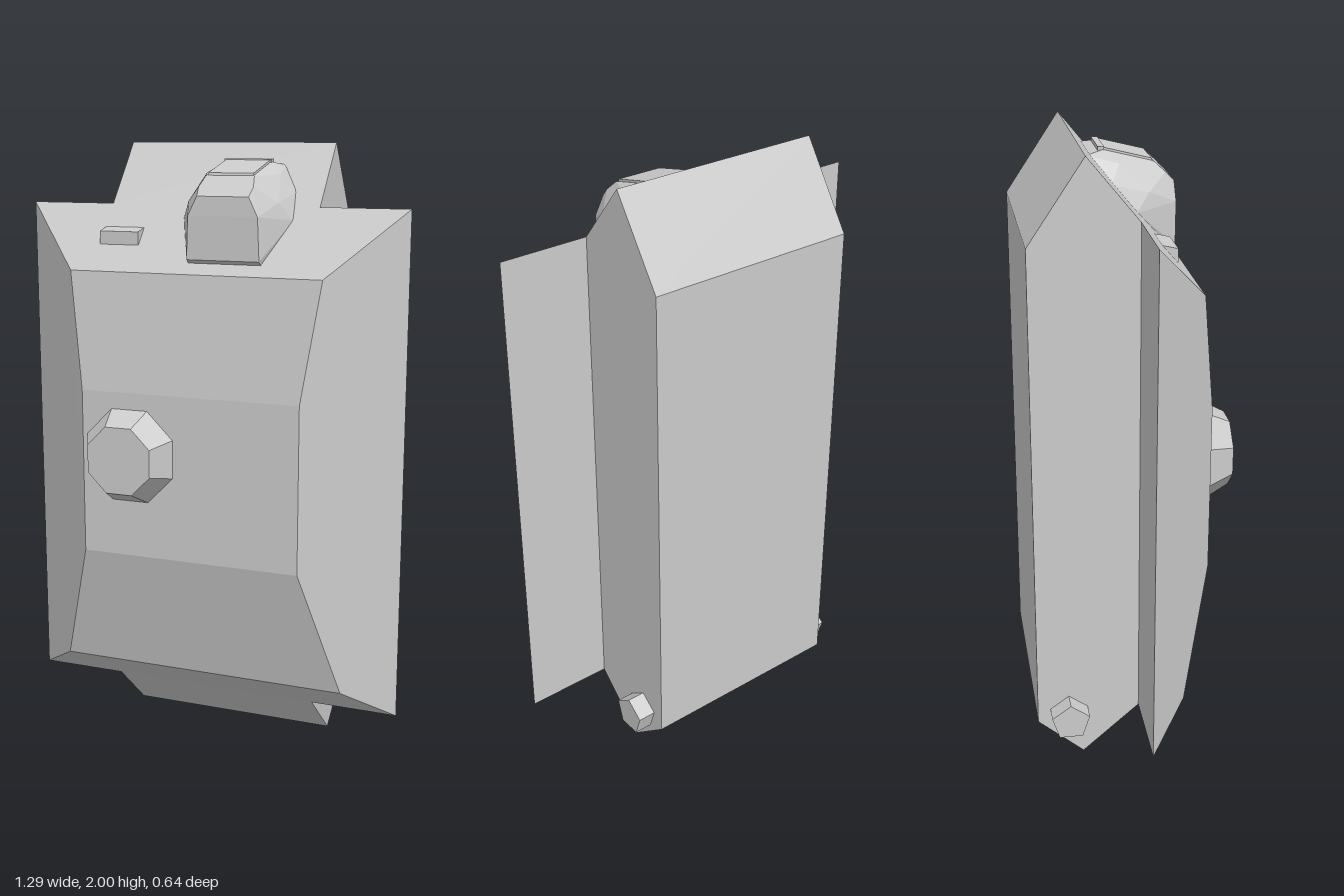
import * as THREE from 'three';
import { ConvexGeometry } from 'three/addons/geometries/ConvexGeometry.js';

const grey = new THREE.MeshStandardMaterial({ color: 0xcccccc, flatShading: true, side: THREE.DoubleSide });

export function createModel() {
  const model = new THREE.Group();

  const add = (name, geometry, x = 0, y = 0, z = 0) => {
    const mesh = new THREE.Mesh(geometry, grey);
    mesh.name = name;
    mesh.position.set(x, y, z);
    model.add(mesh);
    return mesh;
  };

  // Side profile of [z, y] points extruded across x, centred on x = 0
  const across = (profile, width) => {
    const shape = new THREE.Shape(profile.map(([z, y]) => new THREE.Vector2(z, y)));
    return new THREE.ExtrudeGeometry(shape, { depth: width, bevelEnabled: false })
      .rotateY(-Math.PI / 2)
      .translate(width / 2, 0, 0);
  };

  // Convex solid from [halfWidth, y, z] points mirrored in x
  const mirroredSolid = (points) => new ConvexGeometry(
    points.flatMap(([x, y, z]) => [new THREE.Vector3(x, y, z), new THREE.Vector3(-x, y, z)]));

  // Lower hull tub
  add('lowerHull', across([
    [-0.145, 2], [-0.32, 1.74], [-0.32, 0.13], [-0.17, 0], [0.015, 0.165], [0.015, 1.805],
  ], 0.71));

  // Wide upper hull with sloped plates
  add('upperHull', mirroredSolid([
    [0.645, 1.805, 0.015], [0.424, 1.6, 0.193], [0.37, 1.22, 0.235],
    [0.37, 0.68, 0.235], [0.49, 0.268, 0.14], [0.645, 0.165, 0.015],
  ]));

  // Five-sided axle stubs
  for (const side of [1, -1]) {
    const stub = new THREE.CylinderGeometry(0.065, 0.065, 0.08, 5)
      .rotateX(-Math.PI / 2).rotateZ(Math.PI).rotateY(Math.PI / 2);
    // Turn one corner upward
    stub.computeBoundingBox();
    const { min, max } = stub.boundingBox;
    if (max.y < -min.y) stub.rotateX(Math.PI);
    add(side > 0 ? 'leftAxleStub' : 'rightAxleStub', stub, side * 0.375, 0.155, -0.217);
  }

  // Octagonal cupola, flats facing the hull sides
  const flat = Math.cos(Math.PI / 8);
  add('cupola', new THREE.CylinderGeometry(0.108 / flat, 0.153 / flat, 0.09, 8)
    .rotateY(Math.PI / 8).rotateX(Math.PI / 2), -0.203, 1.015, 0.275);

  // Small vision block on the sloped plate
  add('visionBlock', across([[0.07, 1.735], [0.125, 1.722], [0.125, 1.68], [0.07, 1.7]], 0.135), -0.283);

  // Faceted hood with a flat front and sloping roof
  const hoodX = 0.095;
  add('hood', mirroredSolid([
    [0.12, 1.63, 0.16], [0.185, 1.765, 0.045], [0.17, 1.85, -0.03], [0.11, 1.93, -0.1], // foot
    [0.12, 1.645, 0.178], [0.115, 1.78, 0.18], [0.085, 1.84, 0.178], // front face
    [0.15, 1.82, 0.09], [0.125, 1.905, 0], // cheeks
    [0.09, 1.868, 0.15], [0.08, 1.9, 0.115], [0.08, 1.94, -0.045], [0.08, 1.93, -0.07], // roof
  ]), hoodX);

  // Roof hatch panel and its raised rear lip
  add('hoodHatch', across([[0.112, 1.895], [0.108, 1.909], [-0.04, 1.946], [-0.04, 1.93]], 0.15), hoodX);
  add('hoodLip', new THREE.BoxGeometry(0.16, 0.025, 0.02), hoodX, 1.937, -0.05);

  return model;
}
